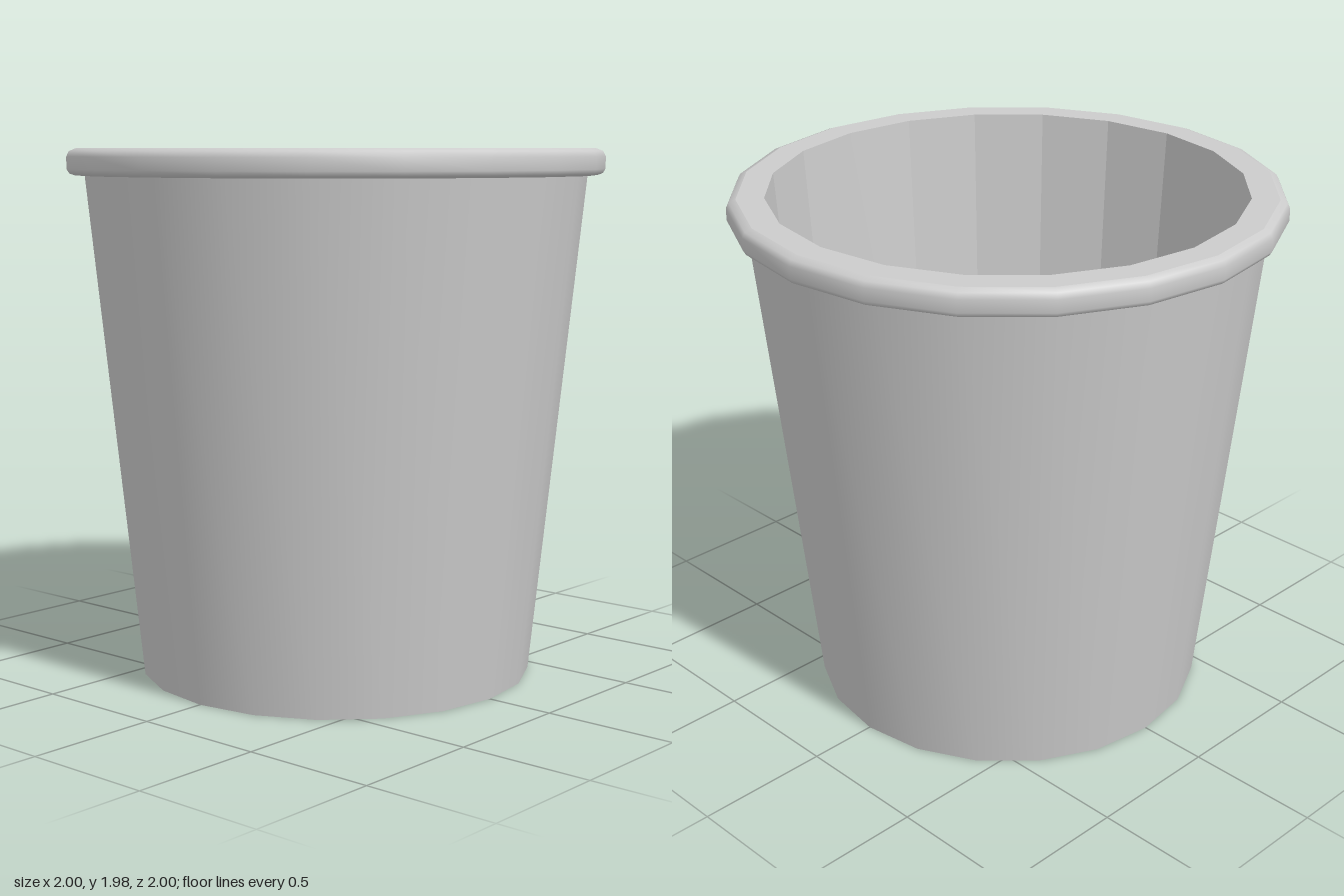
import * as THREE from 'three';

const SIDES = 20;
const HEIGHT = 1.975;
const BASE_RADIUS = 0.74;
const MOUTH_RADIUS = 0.865;

export function createModel() {
  const bucket = new THREE.Group();
  bucket.name = 'bucket';

  const smooth = new THREE.MeshStandardMaterial({ color: 0xcccccc, side: THREE.DoubleSide });
  const faceted = new THREE.MeshStandardMaterial({ color: 0xcccccc, side: THREE.DoubleSide, flatShading: true });

  const add = (name, geometry, material) => {
    const mesh = new THREE.Mesh(geometry, material);
    mesh.name = name;
    bucket.add(mesh);
    return mesh;
  };
  const turn = (points) =>
    new THREE.LatheGeometry(points.map(([r, y]) => new THREE.Vector2(r, y)), SIDES);

  // Tapered outside wall, smooth around
  add('outerWall', turn([[BASE_RADIUS, 0], [0.935, 1.88]]), smooth);

  // Faceted inside wall, running from the mouth down to the floor
  add('innerWall', turn([[MOUTH_RADIUS, HEIGHT], [BASE_RADIUS, 0]]), faceted);

  // Rolled rim: flat underside, rounded outer band, flat lip
  add('rimUnderside', turn([[0.93, 1.877], [0.97, 1.877]]), smooth);
  add('rimBand', turn([
    [0.97, 1.877], [0.99, 1.884], [1, 1.9],
    [1, 1.945], [0.99, 1.965], [0.965, HEIGHT],
  ]), smooth);
  add('rimLip', turn([[0.965, HEIGHT], [MOUTH_RADIUS, HEIGHT]]), smooth);

  // Thin floor, seen from inside and from below
  const floor = new THREE.CircleGeometry(BASE_RADIUS, SIDES);
  floor.rotateX(-Math.PI / 2);
  add('floor', floor, smooth);

  return bucket;
}
